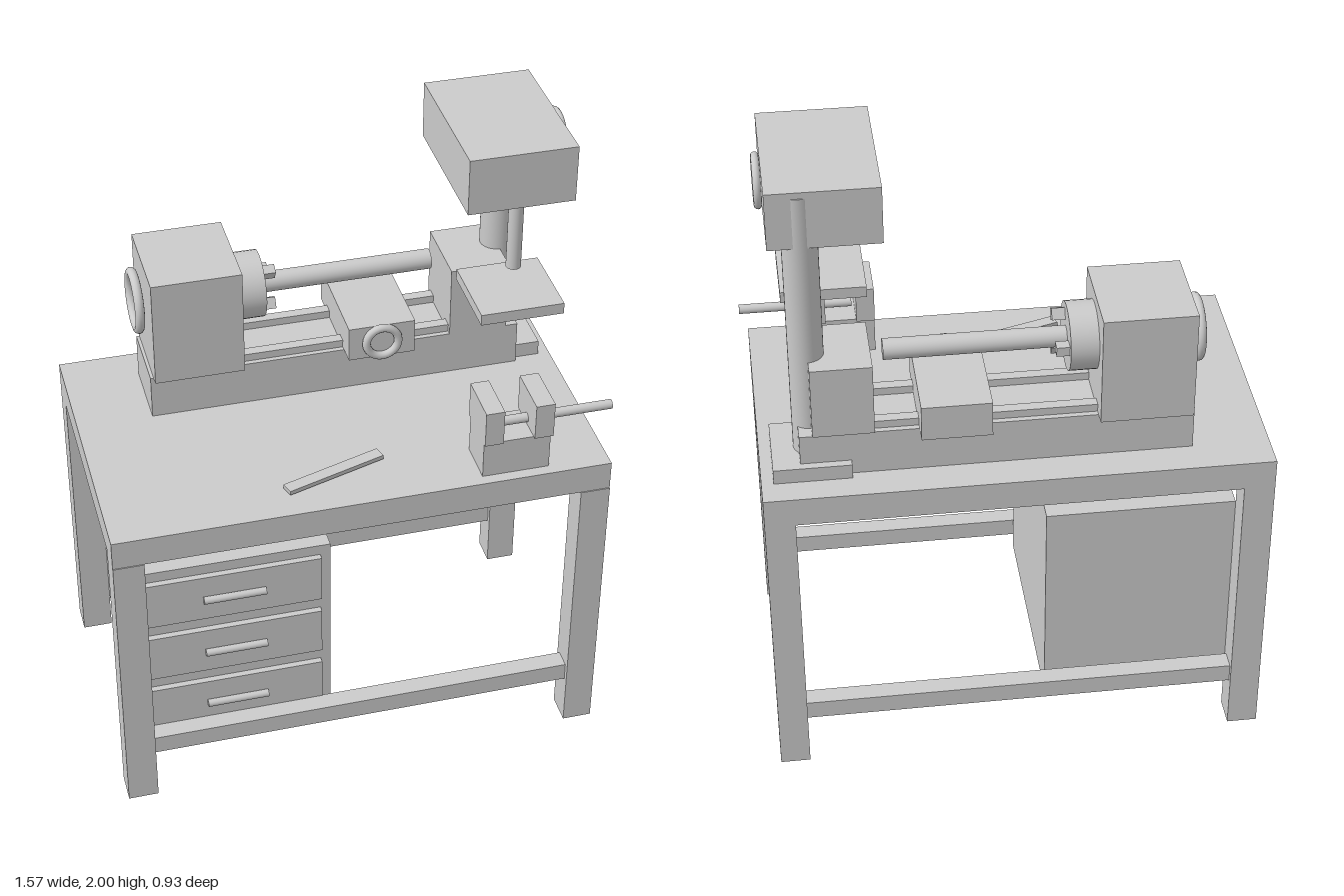
import * as THREE from 'three';

const mat = new THREE.MeshStandardMaterial({ color: 0xcccccc });

export function createModel() {
  const model = new THREE.Group();
  model.name = 'machineWorkbench';

  function add(name, geometry, x, y, z) {
    const mesh = new THREE.Mesh(geometry, mat);
    mesh.name = name;
    mesh.position.set(x, y, z);
    model.add(mesh);
    return mesh;
  }
  // Box given by its extents on each axis
  const box = (name, [x0, x1], [y0, y1], [z0, z1]) =>
    add(name, new THREE.BoxGeometry(x1 - x0, y1 - y0, z1 - z0), (x0 + x1) / 2, (y0 + y1) / 2, (z0 + z1) / 2);
  // Cylinder lying along x
  const rodX = (name, [x0, x1], r, y, z) =>
    add(name, new THREE.CylinderGeometry(r, r, x1 - x0, 32).rotateZ(Math.PI / 2), (x0 + x1) / 2, y, z);
  // Standing cylinder
  const rodY = (name, [y0, y1], r, x, z) =>
    add(name, new THREE.CylinderGeometry(r, r, y1 - y0, 32), x, (y0 + y1) / 2, z);
  // Ring handwheel, facing x or z
  function wheel(name, outer, tube, facesX, x, y, z) {
    const g = new THREE.TorusGeometry(outer - tube, tube, 12, 48);
    if (facesX) g.rotateY(Math.PI / 2);
    return add(name, g, x, y, z);
  }

  // Table: top, four legs, front and back stretchers
  box('tableTop', [-0.785, 0.76], [0.955, 1.05], [-0.465, 0.462]);
  for (const z of [[-0.465, -0.37], [0.37, 0.465]]) {
    box('tableLeg', [-0.785, -0.69], [0, 0.955], z);
    box('tableLeg', [0.667, 0.76], [0, 0.955], z);
    const mid = (z[0] + z[1]) / 2;
    box('stretcher', [-0.69, 0.667], [0.165, 0.226], [mid - 0.03, mid + 0.03]);
  }

  // Drawer cabinet
  box('cabinet', [-0.69, -0.1], [0.125, 0.835], [-0.37, 0.37]);
  for (const y of [0.718, 0.504, 0.29]) {
    box('drawerFront', [-0.68, -0.132], [y - 0.082, y + 0.082], [0.37, 0.39]);
    rodX('drawerHandle', [-0.505, -0.31], 0.012, y, 0.4);
  }

  // Lathe bed with its two guide rails
  const axisY = 1.41, axisZ = -0.24;
  box('latheBed', [-0.547, 0.64], [1.05, 1.195], [-0.355, -0.12]);
  for (const z of [-0.32, -0.153]) box('bedRail', [-0.5, 0.6], [1.195, 1.22], [z - 0.017, z + 0.017]);

  // Headstock, chuck, three jaws and workpiece
  box('headstock', [-0.537, -0.255], [1.195, 1.55], [-0.395, -0.09]);
  wheel('headstockWheel', 0.104, 0.015, true, -0.563, axisY, axisZ);
  rodX('chuck', [-0.255, -0.17], 0.105, axisY, axisZ);
  for (let i = 0; i < 3; i++) {
    const a = Math.PI + (i * Math.PI * 2) / 3;
    const jaw = add('chuckJaw', new THREE.BoxGeometry(0.04, 0.03, 0.036),
      -0.15, axisY + Math.sin(a) * 0.067, axisZ + Math.cos(a) * 0.067);
    jaw.rotation.x = -a;
  }
  rodX('workpiece', [-0.17, 0.377], 0.032, axisY, axisZ);

  // Carriage and tailstock
  box('carriage', [0.07, 0.282], [1.195, 1.31], [-0.415, -0.06]);
  wheel('carriageWheel', 0.064, 0.013, false, 0.175, 1.255, -0.05);
  box('tailstock', [0.415, 0.6], [1.195, 1.43], [-0.36, -0.12]);

  // Drill press
  box('drillBase', [0.487, 0.723], [1.05, 1.098], [-0.38, -0.14]);
  rodY('drillColumn', [1.098, 1.98], 0.053, 0.603, -0.26);
  box('drillHead', [0.367, 0.698], [1.818, 2], [-0.309, 0.164]);
  wheel('drillFeedWheel', 0.083, 0.012, true, 0.71, 1.91, -0.07);
  rodY('drillSpindle', [1.588, 1.818], 0.023, 0.53, 0.12);
  box('drillTable', [0.402, 0.662], [1.462, 1.498], [-0.033, 0.225]);

  // Vise
  box('viseBase', [0.36, 0.57], [1.05, 1.172], [0.287, 0.426]);
  box('viseFixedJaw', [0.36, 0.418], [1.172, 1.29], [0.273, 0.437]);
  box('viseSlidingJaw', [0.516, 0.575], [1.172, 1.29], [0.273, 0.437]);
  rodX('viseScrew', [0.428, 0.785], 0.015, 1.195, 0.357);

  // Flat hand tool lying on the table
  const tool = box('handTool', [-0.239, 0.093], [1.056, 1.07], [0.287, 0.327]);
  tool.rotation.y = 0.31;

  return model;
}
